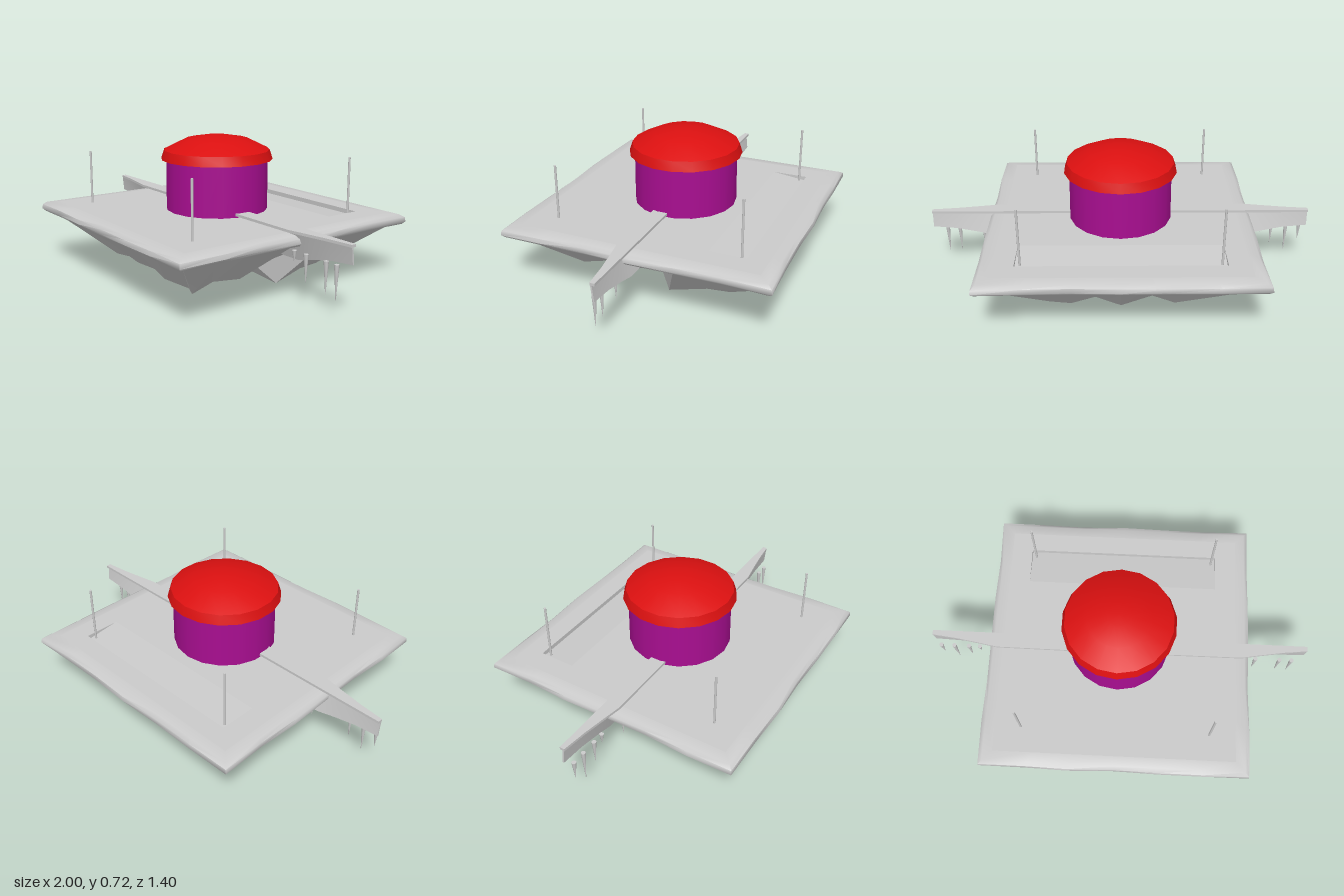
import * as THREE from 'three';
import { toCreasedNormals } from 'three/addons/utils/BufferGeometryUtils.js';

const mat = (name, color) => {
  const m = new THREE.MeshStandardMaterial({ color, side: THREE.DoubleSide });
  m.name = name;
  return m;
};

// Joins closed rings of [x, y, z] points, listed bottom to top; an optional centre point closes the bottom
function loft(rings, crease, centre) {
  const n = rings[0].length, idx = [];
  const pos = rings.flat(2);
  for (let i = 0; i < rings.length - 1; i++) {
    for (let j = 0; j < n; j++) {
      const k = (j + 1) % n, a = i * n + j, b = i * n + k;
      idx.push(a, b, b + n, a, b + n, a + n);
    }
  }
  if (centre) {
    const c = pos.length / 3;
    pos.push(...centre);
    for (let j = 0; j < n; j++) idx.push(c, (j + 1) % n, j);
  }
  const g = new THREE.BufferGeometry();
  g.setAttribute('position', new THREE.Float32BufferAttribute(pos, 3));
  g.setIndex(idx);
  return toCreasedNormals(g, crease);
}

// Square loop of 24 points starting at the (+x, +z) corner, running towards -z
function square(r, y, wobble = 0) {
  const pts = [];
  for (let s = 0; s < 4; s++) {
    for (let j = 0; j < 6; j++) {
      const t = 1 - j / 3, k = s * 6 + j;
      const w = r + wobble * Math.sin(k * 2.3);
      const dirs = [[w, t * r], [t * r, -w], [-w, -t * r], [-t * r, w]];
      pts.push([dirs[s][0], y + wobble * 0.5 * Math.sin(k * 1.7), dirs[s][1]]);
    }
  }
  return pts;
}

// Ragged lower edge of the rock, in the same order as square()
const rockEdge = [
  [0.38, 0.04, 0.42], [0.34, 0.06, 0.27], [0.37, 0.055, 0.13], [0.33, 0.09, 0], [0.4, 0, -0.08], [0.36, 0.03, -0.27],
  [0.36, 0.04, -0.39], [0.25, 0.05, -0.42], [0.13, 0.06, -0.38], [0, 0.05, -0.44], [-0.13, 0.07, -0.37], [-0.27, 0.05, -0.42],
  [-0.36, 0.07, -0.39], [-0.33, 0.06, -0.25], [-0.38, 0.08, -0.12], [-0.34, 0.07, 0], [-0.39, 0.08, 0.13], [-0.34, 0.06, 0.27],
  [-0.36, 0.06, 0.41], [-0.27, 0.05, 0.36], [-0.12, 0.07, 0.42], [0.05, 0.045, 0.36], [0.14, 0.05, 0.42], [0.28, 0.03, 0.37],
];

export function createModel() {
  const model = new THREE.Group();
  model.name = 'floatingPlatform';
  const stone = mat('pale stone', 0xcacaca);
  const red = mat('roof red', 0xdb1010);
  const purple = mat('drum purple', 0xa80e90);
  const add = (name, geo, m, parent = model) => {
    const mesh = new THREE.Mesh(geo, m);
    mesh.name = name;
    parent.add(mesh);
    return mesh;
  };

  // Rock underside
  add('rockUnderside', loft([rockEdge, square(0.655, 0.285)], 0.5, [0, 0.07, 0]), stone);

  // Rounded rim of the platform
  const top = 0.333, inner = 0.62;
  add('platformRim', loft([
    square(0.63, 0.283), square(0.68, 0.278, 0.004), square(0.693, 0.292, 0.005),
    square(0.69, 0.315, 0.004), square(0.67, 0.328), square(inner, top),
  ], 0.9), stone);

  // Platform top with an opening for the sunken ramp
  const deck = new THREE.Shape([[-inner, -inner], [inner, -inner], [inner, inner], [-inner, inner]]
    .map(([x, y]) => new THREE.Vector2(x, y)));
  const rx = 0.51, zf = -0.33, zb = -0.52, low = 0.31;
  deck.holes.push(new THREE.Path([[-rx, -zf], [-rx, -zb], [rx, -zb], [rx, -zf]]
    .map(([x, y]) => new THREE.Vector2(x, y))));
  add('platformTop', new THREE.ShapeGeometry(deck).rotateX(-Math.PI / 2).translate(0, top, 0), stone);

  // Ramp sloping down to the back, with its back step and side walls
  const ramp = new THREE.BufferGeometry();
  ramp.setAttribute('position', new THREE.Float32BufferAttribute([
    -rx, top, zf, rx, top, zf, rx, low, zb, -rx, low, zb, rx, top, zb, -rx, top, zb], 3));
  ramp.setIndex([0, 1, 2, 0, 2, 3, 3, 2, 4, 3, 4, 5, 0, 3, 5, 1, 4, 2]);
  add('sunkenRamp', toCreasedNormals(ramp, 0.3), stone);

  // Drum and domed roof
  add('drum', new THREE.CylinderGeometry(0.266, 0.268, 0.28, 18, 1).translate(0, 0.465, 0), purple);
  const roofProfile = [[0, 0.595], [0.293, 0.596], [0.277, 0.645], [0.165, 0.7], [0.06, 0.718], [0, 0.72]]
    .map(([x, y]) => new THREE.Vector2(x, y));
  add('domedRoof', toCreasedNormals(new THREE.LatheGeometry(roofProfile, 18), 0.6), red);

  // Corner posts
  for (const x of [-0.485, 0.485]) {
    for (const z of [-0.487, 0.487]) {
      add('cornerPost', new THREE.CylinderGeometry(0.006, 0.006, 0.3, 8).translate(x, 0.467, z), stone);
    }
  }

  // Side beams: flat flange over a tapering web; stations are [x, flange front z, web bottom y]
  const stations = [[0.2, 0.07, 0.2], [0.65, 0.068, 0.2], [0.75, 0.05, 0.225], [0.87, 0.03, 0.25], [1, 0.015, 0.262]];
  for (const side of [-1, 1]) {
    const beam = new THREE.Group();
    beam.name = side > 0 ? 'leftBeam' : 'rightBeam';
    model.add(beam);
    const strip = (name, section) => {
      const n = section(stations[0]).length, idx = [];
      for (let i = 0; i < stations.length - 1; i++) {
        for (let j = 0; j < n; j++) {
          const k = (j + 1) % n, a = i * n + j, b = i * n + k;
          const quad = [a, a + n, b + n, a, b + n, b];
          idx.push(...(side > 0 ? quad : quad.reverse()));
        }
      }
      const e = (stations.length - 1) * n;
      const end = [e, e + 3, e + 2, e, e + 2, e + 1];
      idx.push(...(side > 0 ? end : end.reverse()));
      const g = new THREE.BufferGeometry();
      const pos = stations.flatMap((s) => section(s).flatMap(([y, z]) => [side * s[0], y, z]));
      g.setAttribute('position', new THREE.Float32BufferAttribute(pos, 3));
      g.setIndex(idx);
      add(name, toCreasedNormals(g, 0.5), stone, beam);
    };
    strip('beamFlange', ([, z]) => [[0.342, -0.01], [0.342, z], [0.355, z], [0.355, -0.01]]);
    strip('beamWeb', ([, z, y]) => [[y, -0.004], [y, 0.004], [0.345, z * 0.6 + 0.004], [0.345, z * 0.6 - 0.004]]);
  }

  // Hanging spikes: [x, tip y]
  const spikes = [[-0.97, 0.155], [-0.9, 0.09], [-0.82, 0.13], [-0.76, 0.2], [-0.59, 0.12],
    [0.66, 0.2], [0.74, 0.12], [0.87, 0.1], [0.935, 0.09]];
  for (const [x, tip] of spikes) {
    const h = 0.255 - tip;
    add('hangingSpike', new THREE.CylinderGeometry(0.012, 0.001, h, 8).translate(x, tip + h / 2, 0.035), stone);
  }
  return model;
}
